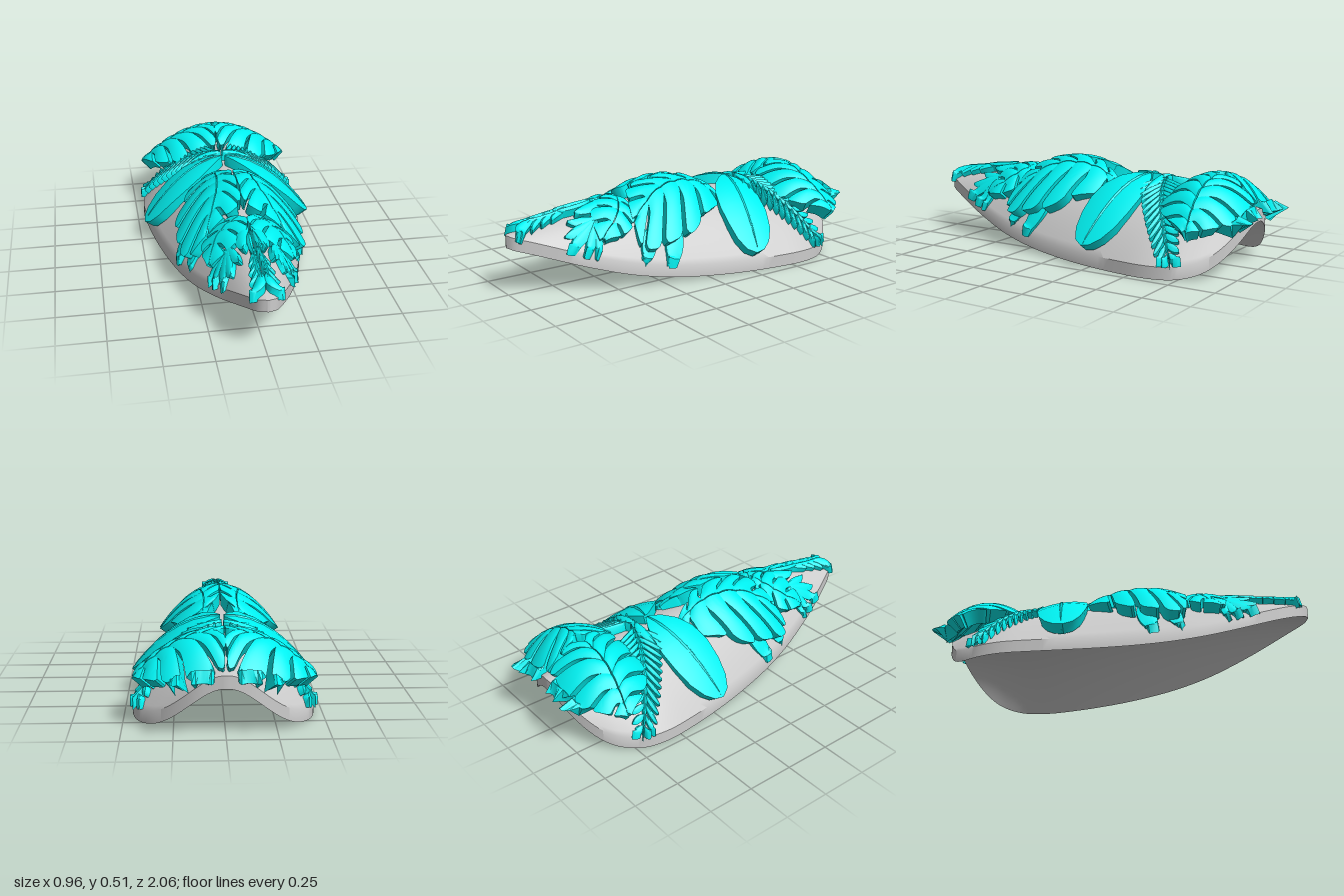
import * as THREE from 'three';
import { toCreasedNormals } from 'three/addons/utils/BufferGeometryUtils.js';

const GREY = new THREE.MeshStandardMaterial({ color: 0xcccccc });
const CYAN = new THREE.MeshStandardMaterial({ color: 0x00f0f0 });
const V2 = (p) => new THREE.Vector2(p[0], p[1]);
const { clamp, lerp, smoothstep } = THREE.MathUtils;

// Plan outline of the shell (half width, z) from tip to back
const rim = new THREE.SplineCurve([
  [0.003, 1], [0.05, 0.97], [0.105, 0.87], [0.165, 0.73], [0.22, 0.58], [0.28, 0.4], [0.335, 0.2],
  [0.38, 0], [0.418, -0.2], [0.447, -0.4], [0.46, -0.57], [0.437, -0.7], [0.378, -0.8], [0.305, -0.875],
  [0.21, -0.94], [0.12, -0.98], [0.003, -1]].map(V2));
const rimPoints = rim.getPoints(240);
function halfWidth(z) {
  const i = clamp(rimPoints.findIndex((p) => p.y <= z), 1, 240);
  const a = rimPoints[i - 1], b = rimPoints[i];
  return lerp(a.x, b.x, clamp((a.y - z) / (a.y - b.y), 0, 1));
}

// Rim sweeps up to both ends; between the rims the shell is a shallow dome
function rimTop(w) {
  const a = Math.PI * Math.min(1, w / 0.46);
  return 0.065 + 0.125 * (1 + Math.cos(a)) - 0.02 * Math.sin(a) ** 2;
}
function shellTop(x, z) {
  const w = halfWidth(z), u = Math.min(1, Math.abs(x) / w), edge = rimTop(w);
  const crown = 0.315 + 0.085 * (1 - Math.min(1, z * z));
  return edge + (crown - edge) * (1 - u * u);
}

// Closed thick patch: top(s,t) and bottom(s,t) grids joined by side walls
function slab(top, bottom, ns, nt) {
  const pos = [], idx = [], w = nt + 1, n = (ns + 1) * w;
  for (const f of [top, bottom])
    for (let i = 0; i <= ns; i++) for (let j = 0; j <= nt; j++) pos.push(...f(i / ns, j / nt));
  // turn the faces outward whichever way the plan runs
  const a = top(0.4, 0.4), b = top(0.4, 0.6), c = top(0.6, 0.4);
  const flip = (b[2] - a[2]) * (c[0] - a[0]) - (b[0] - a[0]) * (c[2] - a[2]) < 0;
  const quad = (p, q, r, s) => (flip ? idx.push(p, r, q, p, s, r) : idx.push(p, q, r, p, r, s));
  const wall = (p, q) => quad(p, q, n + q, n + p);
  for (let i = 0; i < ns; i++) {
    for (let j = 0; j < nt; j++) {
      const k = i * w + j;
      quad(k, k + 1, k + w + 1, k + w);
      quad(n + k, n + k + w, n + k + w + 1, n + k + 1);
    }
    wall((i + 1) * w + nt, i * w + nt);
    wall(i * w, (i + 1) * w);
  }
  for (let j = 0; j < nt; j++) {
    wall(j + 1, j);
    wall(ns * w + j, ns * w + j + 1);
  }
  const g = new THREE.BufferGeometry();
  g.setAttribute('position', new THREE.Float32BufferAttribute(pos, 3));
  g.setIndex(idx);
  return toCreasedNormals(g, 0.6);
}

// Patch laid over a height layer, pillowed across its width, thick along the layer's normal
function draped(plan, layer, thick, ns, nt, pillow) {
  const height = (x, z) => Math.max(layer(x, z), shellTop(x, z) + 0.03);
  const top = (s, t) => {
    const [x, z] = plan(s, t);
    return [x, height(x, z) - pillow * (2 * t - 1) ** 2, z];
  };
  const bottom = (s, t) => {
    const [x, y, z] = top(s, t), e = 0.01;
    const n = new THREE.Vector3(height(x - e, z) - height(x + e, z), 2 * e, height(x, z - e) - height(x, z + e));
    n.normalize().multiplyScalar(-thick);
    const bx = x > 0 ? Math.max(0.001, x + n.x) : Math.min(-0.001, x + n.x), bz = z + n.z;
    return [bx, Math.max(y + n.y, shellTop(bx, bz) - 0.03), bz];
  };
  return slab(top, bottom, ns, nt);
}

// Single leaf blade along a curved plan path
function blade(p0, p1, p2, width, height, thick) {
  const curve = new THREE.QuadraticBezierCurve(V2(p0), V2(p1), V2(p2));
  const plan = (s, t) => {
    const p = curve.getPoint(s), d = curve.getTangent(s);
    const w = width * Math.max(0.08, Math.max(0, Math.sin(Math.PI * s)) ** 0.6) * (2 * t - 1);
    return [p.x - d.y * w, p.y + d.x * w];
  };
  return draped(plan, height, thick, 10, 4, 0.012);
}

// Half of a split leaf: lobes between midrib and margin, parted by narrow slits
function lobes(mid, margin, count, height, thick, sweep) {
  const m = new THREE.SplineCurve(mid.map(V2)), e = new THREE.SplineCurve(margin.map(V2));
  const round = count > 1 ? 0.1 : 0;
  return Array.from({ length: count }, (_, k) => {
    const plan = (s, t) => {
      const open = 0.09 * smoothstep(s, 0.2, 0.5);
      const lo = k > 0 ? open : 0, hi = k < count - 1 ? 1 - open : 1;
      const u = (k + lo + t * (hi - lo)) / count;
      const v = 0.015 + 0.985 * s * (1 - round * Math.abs(2 * t - 1) ** 4);
      const a = m.getPoint(clamp(u - sweep * (1 - v) * v, 0, 1)), b = e.getPoint(u);
      return [a.x + (b.x - a.x) * v, a.y + (b.y - a.y) * v];
    };
    return draped(plan, height, thick, 12, 8, count > 1 ? 0.008 : 0);
  });
}

// Height layers
const backLayer = (x, z) => 0.485 - 1.1 * x * x - (z < -0.76 ? 2.9 : 2.2) * (z + 0.76) ** 2;
const sideLayer = (x, z) => 0.45 - 1.4 * x * x - 1.2 * (z + 0.3) ** 2;
const midLayer = (x, z) => 0.51 - 2.2 * x * x - 0.9 * (z - 0.08) ** 2;
const foreLayer = (x, z) => 0.44 - 2.5 * x * x - 1.8 * (z - 0.42) ** 2;
const above = (h) => (x, z) => shellTop(x, z) + h;

export function createModel() {
  const root = new THREE.Group();

  // Shell
  const shellAt = (drop) => (s, t) => {
    const p = rim.getPoint(s), x = p.x * (2 * t - 1);
    return [x, shellTop(x, p.y) - drop, p.y];
  };
  const shell = new THREE.Mesh(slab(shellAt(0), shellAt(0.065), 90, 40), GREY);
  shell.name = 'shell';
  root.add(shell);

  for (const side of [1, -1]) {
    const mx = (p) => [p[0] * side, p[1]];
    const add = (name, geos) => {
      const g = new THREE.Group();
      g.name = (side > 0 ? 'left' : 'right') + name;
      for (const geo of geos) {
        const mesh = new THREE.Mesh(geo, CYAN);
        mesh.name = name + 'Part';
        g.add(mesh);
      }
      root.add(g);
    };
    const split = (mid, margin, n, h, th, sweep = 0.25) => lobes(mid.map(mx), margin.map(mx), n, h, th, sweep);
    const leaf = (a, b, c, w, h, th) => blade(mx(a), mx(b), mx(c), w, h, th);

    // Large split leaf at the back, with a small opening on the centre line
    const backRib = [[0.045, -0.785], [0.2, -0.775], [0.34, -0.79], [0.44, -0.81]];
    add('BackLeaf', [
      ...split(backRib, [[0.002, -0.83], [0.002, -0.92], [0.03, -0.995], [0.19, -1], [0.31, -0.95], [0.4, -0.88], [0.45, -0.81]], 6, backLayer, 0.08),
      ...split(backRib, [[0.002, -0.75], [0.002, -0.65], [0.03, -0.57], [0.15, -0.54], [0.28, -0.58], [0.38, -0.66], [0.448, -0.79]], 6, backLayer, 0.08),
    ]);

    // Fern frond
    const fernLayer = above(0.055);
    const stemPts = [[0.004, -0.47], [0.25, -0.53], [0.45, -0.73]];
    const stem = new THREE.QuadraticBezierCurve(...stemPts.map(V2));
    const frond = [leaf(...stemPts, 0.012, fernLayer, 0.05)];
    for (let i = 1; i <= 14; i++) {
      const p = stem.getPoint(i / 15), d = stem.getTangent(i / 15), len = 0.15 - 0.006 * i;
      for (const q of [1, -1]) {
        const dx = d.x * 0.6 - d.y * q * 0.8, dz = d.y * 0.6 + d.x * q * 0.8;
        const end = [clamp(p.x + dx * len, 0.004, 0.465), p.y + dz * len];
        frond.push(leaf([p.x, p.y], [p.x + dx * len * 0.5, p.y + dz * len * 0.5], end, 0.012, fernLayer, 0.04));
      }
    }
    add('Fern', frond);

    // Broad rounded side leaf: two cheeks and a raised rib
    const sideRib = [[0.01, -0.37], [0.2, -0.32], [0.35, -0.275], [0.478, -0.24]];
    add('SideLeaf', [
      ...split(sideRib, [[0.01, -0.38], [0.09, -0.42], [0.2, -0.44], [0.32, -0.42], [0.42, -0.37], [0.47, -0.3], [0.478, -0.25]], 1, sideLayer, 0.06, 0),
      ...split(sideRib, [[0.01, -0.35], [0.06, -0.28], [0.14, -0.2], [0.25, -0.155], [0.36, -0.15], [0.44, -0.17], [0.478, -0.23]], 1, sideLayer, 0.06, 0),
      leaf(sideRib[0], [0.22, -0.32], [0.46, -0.245], 0.012, (x, z) => sideLayer(x, z) + 0.006, 0.04),
      leaf([0.005, -0.44], [0.06, -0.47], [0.18, -0.44], 0.025, above(0.06), 0.06),
    ]);

    // Middle split leaf, meeting its twin on the centre line
    const midRib = [[0.1, -0.21], [0.09, -0.05], [0.12, 0.15], [0.2, 0.36]];
    add('MiddleLeaf', [
      ...split(midRib, [[0.11, -0.22], [0.2, -0.2], [0.27, -0.06], [0.335, 0.08], [0.342, 0.2], [0.338, 0.31], [0.3, 0.385], [0.21, 0.375]], 6, midLayer, 0.07),
      ...split(midRib, [[0.08, -0.22], [0.04, -0.13], [0.003, -0.05], [0.002, 0.1], [0.002, 0.24], [0.03, 0.31], [0.11, 0.35], [0.19, 0.375]], 6, midLayer, 0.07),
      leaf([0.22, 0.12], [0.3, 0.17], [0.335, 0.24], 0.045, above(0.05), 0.05),
      leaf([0.22, 0.28], [0.27, 0.31], [0.29, 0.37], 0.035, above(0.045), 0.05),
    ]);

    // Fore split leaf
    const foreRib = [[0.02, 0.37], [0.1, 0.4], [0.17, 0.46], [0.22, 0.57]];
    add('ForeLeaf', [
      ...split(foreRib, [[0.02, 0.35], [0.13, 0.33], [0.215, 0.38], [0.245, 0.46], [0.23, 0.56]], 4, foreLayer, 0.06),
      ...split(foreRib, [[0.003, 0.38], [0.004, 0.47], [0.05, 0.54], [0.13, 0.58], [0.21, 0.585]], 4, foreLayer, 0.06),
      leaf([0.01, 0.46], [0.06, 0.53], [0.06, 0.64], 0.035, above(0.05), 0.05),
      leaf([0.008, 0.52], [0.03, 0.6], [0.02, 0.72], 0.014, above(0.055), 0.05),
    ]);

    // Sprig of small leaflets
    add('Sprig', [[0.23, 0.6], [0.215, 0.66], [0.18, 0.74], [0.14, 0.74], [0.09, 0.7]].map((end) =>
      leaf([0.12, 0.55], [(0.14 + end[0]) / 2, (0.53 + end[1]) / 2], end, 0.022, above(0.045), 0.05)));

    // Slender leaflets at the tip
    const tip = [];
    for (let i = 0; i < 4; i++) {
      const z = 0.65 + i * 0.06, r = 0.055 + 0.01 * i;
      tip.push(leaf([0.008, z], [r * 0.4, z + 0.1], [r, z + 0.12], 0.016, above(0.045), 0.05));
    }
    tip.push(leaf([0.01, 0.86], [0.02, 0.95], [0.085, 0.95], 0.028, above(0.05), 0.05));
    tip.push(leaf([0.012, 0.66], [0.03, 0.78], [0.012, 0.9], 0.012, above(0.05), 0.05));
    add('TipLeaves', tip);
  }
  return root;
}
